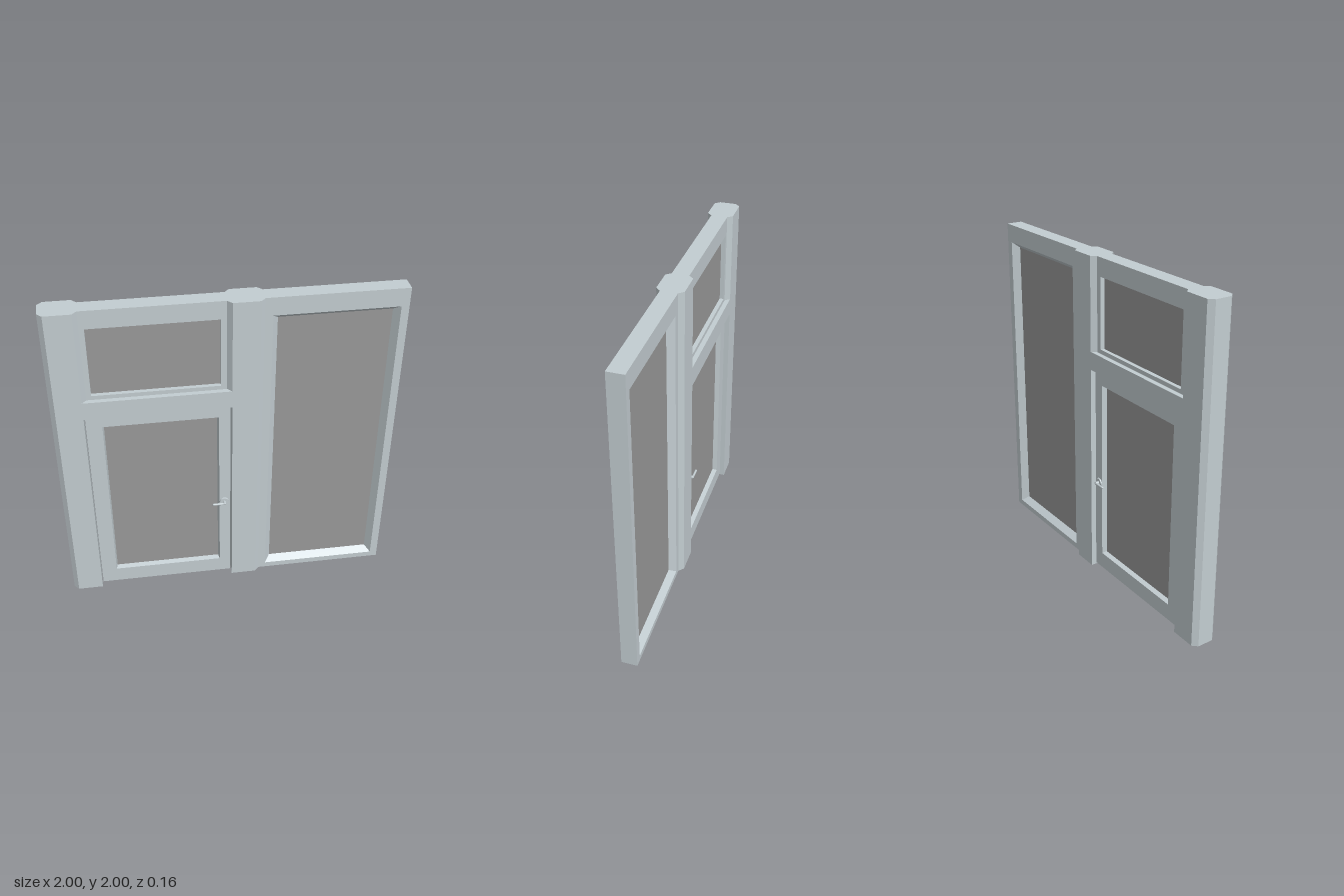
import * as THREE from 'three';

const MID = -0.004;          // depth centre of the frame
const THICK = 0.078;         // half depth of posts and rail
const THIN = 0.049;          // half depth of sashes and door

export function createModel() {
  const group = new THREE.Group();
  const paint = new THREE.MeshStandardMaterial({ color: 0xc3cdd1 });
  paint.name = 'paleGreyFrame';
  const glass = new THREE.MeshStandardMaterial({ color: 0x999999 });
  glass.name = 'greyGlass';

  const add = (name, geometry, material, x = 0, y = 0, z = 0, parent = group) => {
    const mesh = new THREE.Mesh(geometry, material);
    mesh.name = name;
    mesh.position.set(x, y, z);
    parent.add(mesh);
    return mesh;
  };

  // Box given by its x and y limits, centred in depth
  const slab = (name, [x0, x1, y0, y1], half, material) =>
    add(name, new THREE.BoxGeometry(x1 - x0, y1 - y0, half * 2), material,
      (x0 + x1) / 2, (y0 + y1) / 2, MID);

  // Upright prism from a plan of [x, z] points
  const prism = (name, plan, y0, y1) => {
    const shape = new THREE.Shape(plan.map(([x, z]) => new THREE.Vector2(x, -z)));
    const geo = new THREE.ExtrudeGeometry(shape, { depth: y1 - y0, bevelEnabled: false });
    geo.rotateX(-Math.PI / 2);
    return add(name, geo, paint, 0, y0, MID);
  };

  // Rectangular frame whose opening slopes from its face rim to the glass
  const sash = (name, outer, rim, inner, glassHalf) => {
    const rings = [[outer, THIN], [rim, THIN], [inner, glassHalf],
      [inner, -glassHalf], [rim, -THIN], [outer, -THIN]];
    const corners = rings.map(([[x0, x1, y0, y1], z]) =>
      [[x0, y0, z], [x1, y0, z], [x1, y1, z], [x0, y1, z]]);
    const pos = [];
    corners.forEach((ring, i) => {
      const next = corners[(i + 1) % corners.length];
      for (let k = 0; k < 4; k++) {
        const m = (k + 1) % 4;
        pos.push(...ring[k], ...ring[m], ...next[m], ...ring[k], ...next[m], ...next[k]);
      }
    });
    const geo = new THREE.BufferGeometry();
    geo.setAttribute('position', new THREE.Float32BufferAttribute(pos, 3));
    geo.computeVertexNormals();
    add(name, geo, paint, 0, 0, MID);
    slab(name + 'Glass', inner, glassHalf, glass);
  };

  // Posts, chamfered on their outer edges
  prism('hingePost', [[-0.82, THICK], [-0.972, THICK], [-1, THIN], [-1, -THIN],
    [-0.972, -THICK], [-0.82, -THICK]], 0, 2);
  prism('middlePost', [[0.02, THICK], [0.02, -THICK], [0.173, -THICK], [0.201, -THIN],
    [0.201, THIN], [0.173, THICK]], 0, 2);

  // Rail above the door
  slab('transomRail', [-0.82, 0.02, 1.33, 1.44], THICK, paint);

  // Window above the door, with sloped cheeks beside it
  const topHole = [-0.765, -0.04, 1.465, 1.89];
  sash('topWindow', [-0.82, 0.02, 1.44, 2], topHole, topHole, 0.024);
  for (const [x, dir] of [[-0.82, 1], [0.02, -1]]) {
    for (const s of [1, -1]) {
      prism('windowCheek', [[x, s * THIN], [x + dir * 0.026, s * THIN], [x, s * THICK]], 1.44, 2);
    }
  }

  // Tall side window
  sash('sideWindow', [0.2, 1, 0, 2], [0.245, 0.955, 0.036, 1.89],
    [0.278, 0.922, 0.068, 1.857], 0.008);

  // Door, hung with a narrow gap all round
  sash('door', [-0.813, 0.013, 0.015, 1.323], [-0.721, -0.054, 0.117, 1.247],
    [-0.713, -0.062, 0.125, 1.238], 0.02);

  // Lever handle on both faces of the door
  for (const s of [1, -1]) {
    const handle = new THREE.Group();
    handle.name = s > 0 ? 'frontHandle' : 'backHandle';
    handle.position.set(-0.024, 0.605, MID + s * THIN);
    const rose = add('handleRose', new THREE.CylinderGeometry(0.027, 0.029, 0.008, 24), paint, 0, 0, s * 0.004, handle);
    rose.rotation.x = s * Math.PI / 2;
    const neck = add('handleNeck', new THREE.CylinderGeometry(0.01, 0.01, 0.028, 16), paint, 0, 0, s * 0.014, handle);
    neck.rotation.x = Math.PI / 2;
    const lever = add('handleLever', new THREE.CapsuleGeometry(0.007, 0.07, 6, 12), paint, -0.034, 0, s * 0.025, handle);
    lever.rotation.z = Math.PI / 2;
    group.add(handle);
  }
  return group;
}
